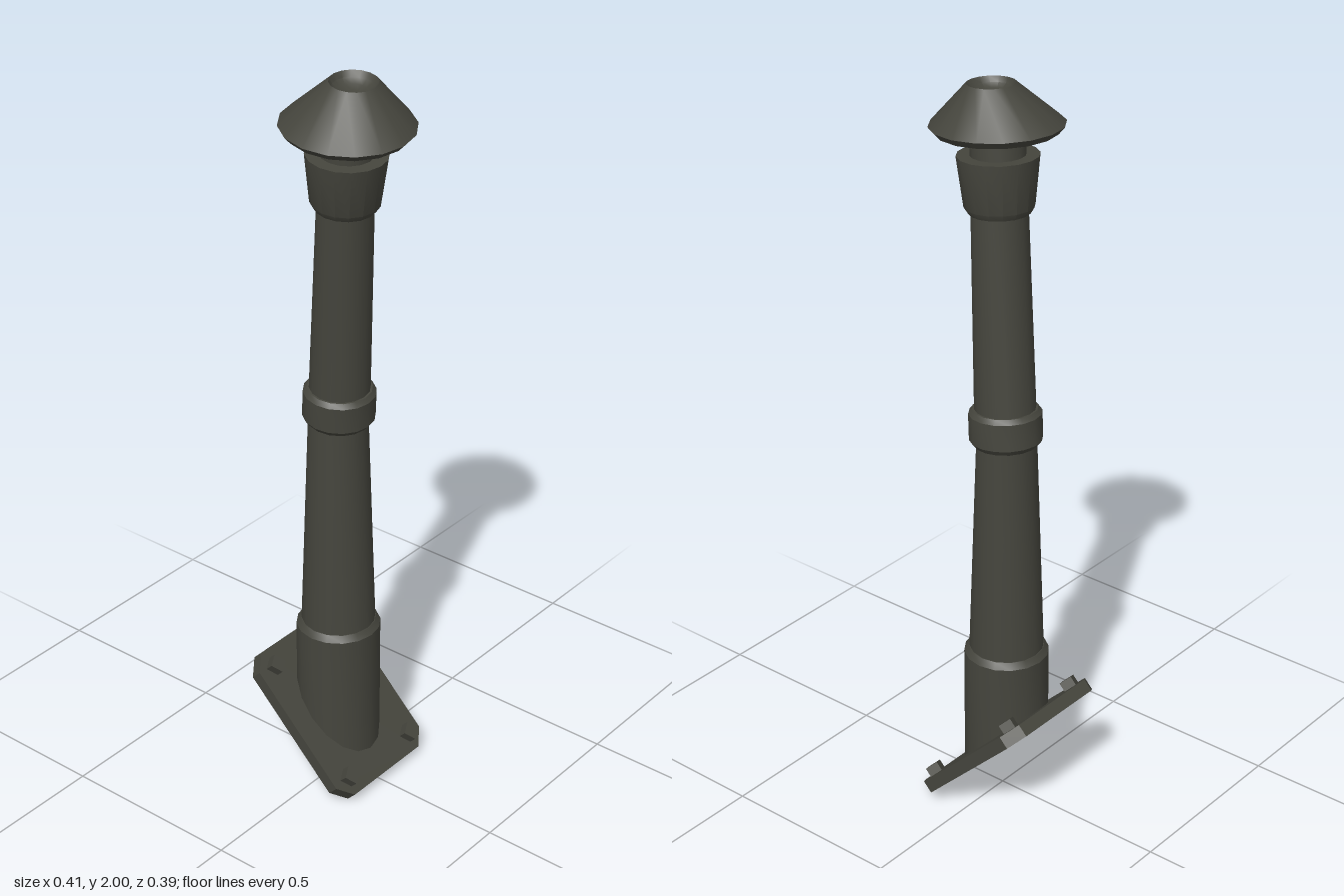
import * as THREE from 'three';
import { toCreasedNormals } from 'three/addons/utils/BufferGeometryUtils.js';

const metal = new THREE.MeshStandardMaterial({ color: 0x45453d });
metal.name = 'dark metal';

function add(parent, name, geometry) {
  const mesh = new THREE.Mesh(geometry, metal);
  mesh.name = name;
  parent.add(mesh);
  return mesh;
}

// Turned part from [radius, height] pairs; rule may move each vertex
function turned(profile, rule) {
  const geo = new THREE.LatheGeometry(profile.map(([r, y]) => new THREE.Vector2(r, y)), 16);
  if (rule) {
    const pos = geo.attributes.position;
    const v = new THREE.Vector3();
    for (let i = 0; i < pos.count; i++) {
      v.fromBufferAttribute(pos, i);
      rule(v);
      pos.setXYZ(i, v.x, v.y, v.z);
    }
  }
  return toCreasedNormals(geo, 0.45);
}

export function createModel() {
  const model = new THREE.Group();
  model.name = 'chimneyPipe';

  // Sloping mounting plate with clipped corners
  const mount = new THREE.Group();
  mount.name = 'mount';
  mount.position.set(-0.03, 0.172, -0.015);
  mount.rotation.z = -0.777;
  model.add(mount);
  const L = 0.2265, W = 0.18, C = 0.042, T = 0.035;
  const outline = new THREE.Shape([
    [L - C, -W], [L, C - W], [L, W - C], [L - C, W],
    [C - L, W], [-L, W - C], [-L, C - W], [C - L, -W],
  ].map(([x, y]) => new THREE.Vector2(x, y)));
  const plate = new THREE.ExtrudeGeometry(outline, { depth: T, bevelEnabled: false });
  plate.translate(0, 0, -T / 2).rotateX(-Math.PI / 2);
  add(mount, 'mountingPlate', plate);

  // Square bolts in the four corners
  for (const x of [-0.178, 0.178]) {
    for (const z of [-0.128, 0.128]) {
      const bolt = add(mount, 'bolt', new THREE.BoxGeometry(0.036, 0.03, 0.036));
      bolt.position.set(x, T / 2 + 0.01, z);
      bolt.rotation.y = 0.6;
    }
  }

  // Upright lower pipe; the socket foot is cut along the plate
  const lower = new THREE.Group();
  lower.name = 'lowerPipe';
  lower.position.set(-0.022, 0, -0.011);
  model.add(lower);
  add(lower, 'baseSocket', turned([[0.112, 0], [0.112, 0.445], [0.1, 0.462], [0.08, 0.462]], (v) => {
    if (v.y < 0.1) v.y = 0.172 - 0.982 * (v.x + 0.008);
  }));
  add(lower, 'lowerTube', turned([[0.099, 0.44], [0.077, 1.08]]));

  // Upper pipe leans slightly to the left and forward
  const upper = new THREE.Group();
  upper.name = 'upperPipe';
  upper.position.set(-0.0215, 1.07, -0.013);
  upper.quaternion.setFromUnitVectors(
    new THREE.Vector3(0, 1, 0), new THREE.Vector3(0.07, 1, 0.044).normalize());
  model.add(upper);
  add(upper, 'jointRing', turned([
    [0.05, -0.01], [0.083, -0.01], [0.094, 0.004], [0.094, 0.075], [0.084, 0.087], [0.06, 0.087],
  ]));
  add(upper, 'upperTube', turned([[0.079, 0.06], [0.071, 0.63]]));
  add(upper, 'collar', turned([
    [0.06, 0.602], [0.078, 0.602], [0.088, 0.618], [0.103, 0.747], [0.06, 0.747],
  ]));
  add(upper, 'neck', turned([[0.069, 0.73], [0.069, 0.84]]));

  // Conical rain cap with a dished top, its tip offset backward
  add(upper, 'cap', turned([
    [0, 0.832], [0.07, 0.83], [0.152, 0.805], [0.168, 0.823], [0.061, 0.928],
    [0.052, 0.914], [0.038, 0.904], [0.02, 0.898], [0, 0.896],
  ], (v) => {
    const h = Math.max(0, v.y - 0.823);
    if (v.y > 0.85) v.z -= 0.17 * h;
  }));

  return model;
}
